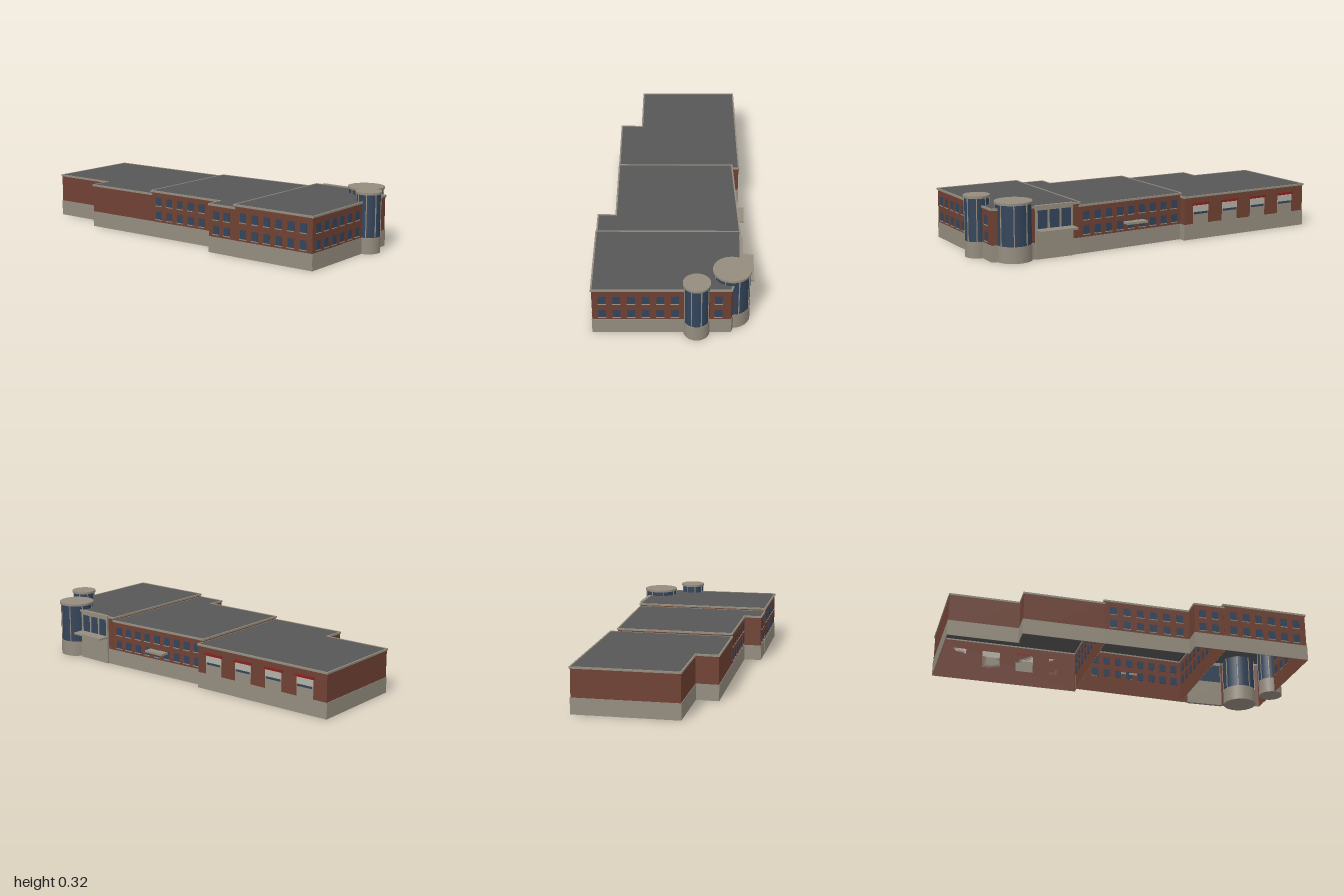
import * as THREE from 'three';

const mat = (name, color, side = THREE.FrontSide) => {
  const m = new THREE.MeshStandardMaterial({ color, side });
  m.name = name;
  return m;
};

export function createModel() {
  const brick = mat('brick', 0x6f4133, THREE.DoubleSide);
  const stone = mat('stone', 0x948c7e);
  const glass = mat('blue glass', 0x33445a);
  const roofGrey = mat('roof grey', 0x575757, THREE.DoubleSide);
  const red = mat('awning red', 0x8a2020);
  const pale = mat('pale panel', 0xb4b0a6);
  const BASE = 0.085;

  const model = new THREE.Group();
  model.name = 'building';

  const add = (parent, name, geo, material, x = 0, y = 0, z = 0) => {
    const m = new THREE.Mesh(geo, material);
    m.name = name;
    m.position.set(x, y, z);
    parent.add(m);
    return m;
  };
  // Box given by its limits on each axis
  const box = (parent, name, material, x0, x1, y0, y1, z0, z1) =>
    add(parent, name, new THREE.BoxGeometry(x1 - x0, y1 - y0, z1 - z0), material,
      (x0 + x1) / 2, (y0 + y1) / 2, (z0 + z1) / 2);

  // Window pane with a sill; inner panes show only inside the shell
  const addWindow = (wall, d, y, h, inner) => {
    const w = 0.019;
    if (inner) {
      box(wall, 'innerWindow', glass, d - w, d + w, y - h / 2, y + h / 2, -0.004, -0.001);
      return;
    }
    box(wall, 'window', glass, d - w, d + w, y - h / 2, y + h / 2, -0.003, 0.002);
    box(wall, 'windowSill', stone, d - w - 0.002, d + w + 0.002, y - h / 2 - 0.004, y - h / 2, 0, 0.005);
  };

  // Wall from a to b: local x runs along it, local z points outwards
  const addWall = (parent, a, b, top, shared, win, rows) => {
    const len = Math.hypot(b[0] - a[0], b[1] - a[1]);
    const wall = new THREE.Group();
    wall.name = 'wall';
    wall.position.set(a[0], 0, a[1]);
    wall.rotation.y = Math.atan2(a[1] - b[1], b[0] - a[0]);
    parent.add(wall);
    const bottom = shared ? 0.23 : 0;
    add(wall, 'brickWall', new THREE.PlaneGeometry(len, top - bottom), brick, len / 2, (top + bottom) / 2);
    box(wall, 'coping', stone, -0.004, len + 0.004, top - 0.01, top, -0.003, 0.005);
    if (!shared) box(wall, 'stoneBase', stone, -0.002, len + 0.002, 0, BASE, 0.0005, 0.003);
    if (win) {
      for (let i = 0; i < win.n; i++) {
        if (win.skip && win.skip.includes(i)) continue;
        for (const y of rows) addWindow(wall, win.start + win.step * i, y, win.h || 0.044, win.inner);
      }
    }
    return wall;
  };

  // Wings: corners [x, z] run front, right, back, left
  const wings = [
    {
      name: 'lowWing', top: 0.24, rows: [0.115, 0.185],
      pts: [[-0.98, 0.23], [-0.605, 0.22], [-0.605, 0.34], [-0.17, 0.325], [-0.185, -0.345], [-0.998, -0.315]],
      wins: {
        0: { n: 5, start: 0.045, step: 0.07, inner: true },
        3: { n: 9, start: 0.055, step: 0.07, inner: true },
        5: { n: 7, start: 0.06, step: 0.07, inner: true },
      },
    },
    {
      name: 'middleWing', top: 0.257, rows: [0.122, 0.198], shared: 5,
      pts: [[-0.17, 0.325], [0.305, 0.31], [0.305, 0.405], [0.47, 0.4], [0.45, -0.345], [-0.185, -0.305]],
      wins: {
        0: { n: 6, start: 0.05, step: 0.074 },
        2: { n: 2, start: 0.045, step: 0.07 },
        3: { n: 10, start: 0.055, step: 0.07, inner: true },
        4: { n: 9, start: 0.04, step: 0.069 },
      },
    },
    {
      name: 'tallWing', top: 0.273, rows: [0.122, 0.207], shared: 4,
      pts: [[0.47, 0.402], [0.943, 0.388], [0.92, -0.3], [0.75, -0.345], [0.45, -0.345]],
      wins: {
        0: { n: 6, start: 0.055, step: 0.073, h: 0.047 },
        1: { n: 9, start: 0.05, step: 0.072, h: 0.047, skip: [6, 7] },
      },
    },
  ];

  let lowBack;
  for (const w of wings) {
    const wing = new THREE.Group();
    wing.name = w.name;
    model.add(wing);
    w.pts.forEach((p, i) => {
      const q = w.pts[(i + 1) % w.pts.length];
      const wall = addWall(wing, p, q, w.top, i === w.shared, w.wins[i], w.rows);
      if (w.name === 'lowWing' && i === 4) lowBack = wall;
    });
    const shape = new THREE.Shape(w.pts.map(([x, z]) => new THREE.Vector2(x, -z)));
    add(wing, 'roof', new THREE.ShapeGeometry(shape).rotateX(-Math.PI / 2), roofGrey, 0, w.top - 0.002, 0);
  }

  // Loading doors with red awnings on the back of the low wing
  for (let i = 0; i < 4; i++) {
    const d = 0.105 + i * 0.193;
    box(lowBack, 'doorSurround', stone, d - 0.05, d + 0.05, BASE, 0.15, 0, 0.002);
    box(lowBack, 'doorPanel', pale, d - 0.05, d + 0.05, 0.15, 0.185, 0, 0.004);
    box(lowBack, 'doorGlass', glass, d - 0.044, d + 0.044, 0.138, 0.15, 0, 0.004);
    box(lowBack, 'awning', red, d - 0.055, d + 0.055, 0.187, 0.2, 0, 0.008);
  }

  // Small canopy on the back of the middle wing
  box(model, 'smallCanopy', stone, 0.058, 0.182, 0.128, 0.14, -0.372, -0.322);

  // Entrance bay: stone lower part, framed glazing, wide canopy
  const entrance = new THREE.Group();
  entrance.name = 'entrance';
  model.add(entrance);
  box(entrance, 'entranceBase', stone, 0.492, 0.702, 0, 0.145, -0.358, -0.34);
  box(entrance, 'entranceGlass', glass, 0.497, 0.697, 0.145, 0.255, -0.353, -0.342);
  box(entrance, 'entranceLintel', stone, 0.492, 0.702, 0.252, 0.277, -0.358, -0.34);
  for (const x of [0.498, 0.564, 0.63, 0.696])
    box(entrance, 'entranceMullion', stone, x - 0.005, x + 0.005, 0.145, 0.255, -0.357, -0.342);
  box(entrance, 'wideCanopy', stone, 0.492, 0.702, 0.145, 0.156, -0.418, -0.35);

  // Round glazed towers
  const addTower = (name, x, z, r, top) => {
    const t = new THREE.Group();
    t.name = name;
    t.position.set(x, 0, z);
    model.add(t);
    add(t, 'towerBase', new THREE.CylinderGeometry(r, r, BASE, 24), stone, 0, BASE / 2);
    add(t, 'towerGlass', new THREE.CylinderGeometry(r - 0.002, r - 0.002, top - BASE, 24), glass, 0, (top + BASE) / 2 - 0.002);
    add(t, 'towerCap', new THREE.CylinderGeometry(r + 0.004, r + 0.004, 0.012, 32), stone, 0, top - 0.006);
    for (let i = 0; i < 8; i++) {
      const a = ((i + 0.5) / 8) * Math.PI * 2;
      const m = add(t, 'towerMullion', new THREE.BoxGeometry(0.005, top - BASE - 0.006, 0.005), stone,
        Math.sin(a) * (r - 0.002), (top + BASE) / 2 - 0.003, Math.cos(a) * (r - 0.002));
      m.rotation.y = a;
    }
  };
  addTower('largeTower', 0.8, -0.303, 0.093, 0.306);
  addTower('smallTower', 0.927, -0.129, 0.065, 0.32);

  return model;
}
